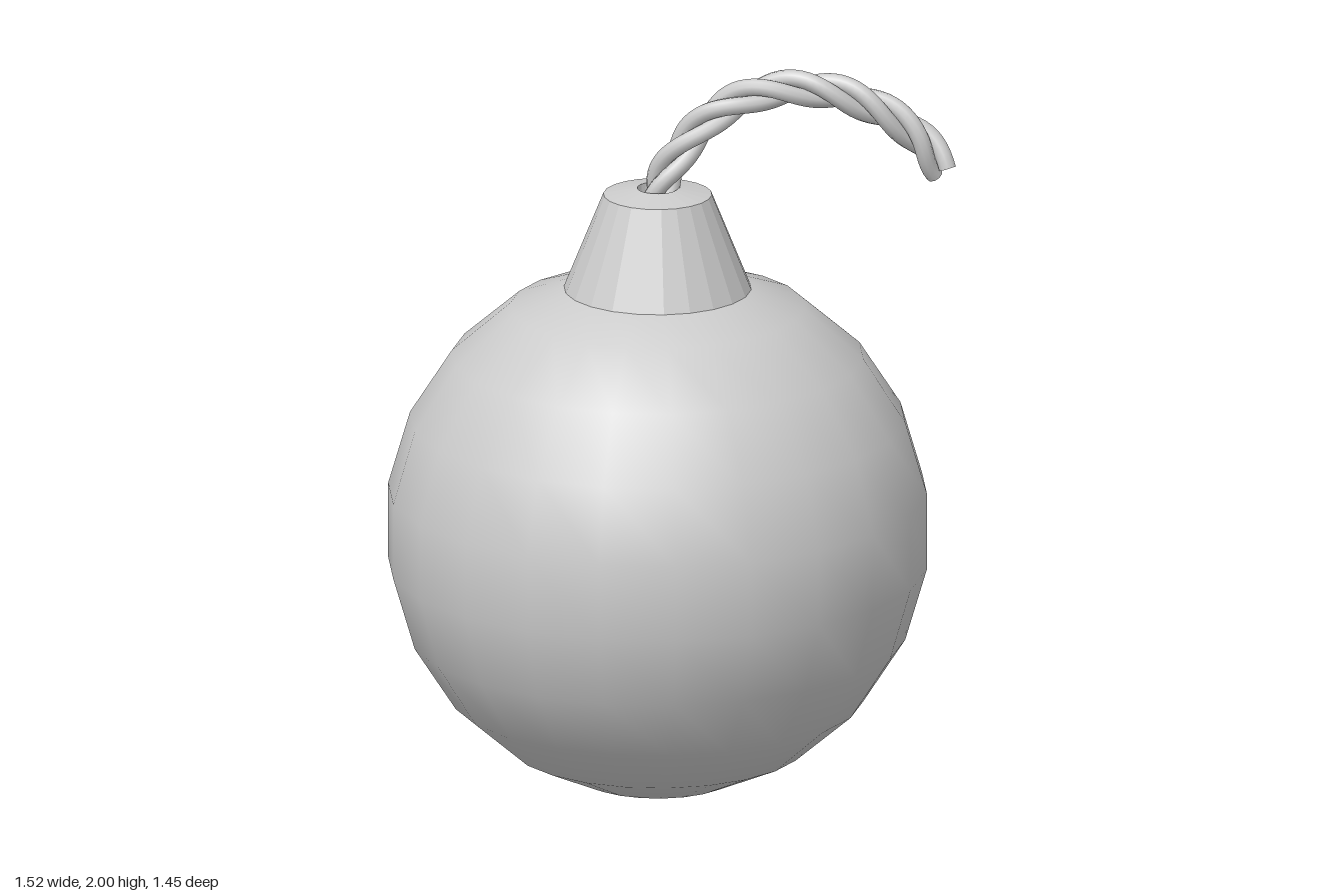
import * as THREE from 'three';

const SIDES = 22;
const AXIS_X = -0.04;

export function createModel() {
  const model = new THREE.Group();
  const smooth = new THREE.MeshStandardMaterial({ color: 0xcccccc });
  const faceted = new THREE.MeshStandardMaterial({ color: 0xcccccc, flatShading: true });

  const add = (name, geometry, material, parent = model) => {
    const mesh = new THREE.Mesh(geometry, material);
    mesh.name = name;
    parent.add(mesh);
    return mesh;
  };
  const lathe = (points) => new THREE.LatheGeometry(points.map(([r, y]) => new THREE.Vector2(r, y)), SIDES);

  // Round body: 11 bands from the bottom pole, the last ring opened to meet the neck
  const R = 0.7325;
  const profile = [];
  for (let i = 0; i < 10; i++) {
    const a = (i * Math.PI) / 11;
    profile.push([R * Math.sin(a), R - R * Math.cos(a)]);
  }
  profile.push([0.252, 1.4]);
  add('body', lathe(profile), smooth).position.x = AXIS_X;

  // Tapered neck with a slightly raised top and a socket for the fuse
  const neck = lathe([[0.252, 1.4], [0.146, 1.663], [0.055, 1.68], [0.05, 1.6], [0, 1.6]]);
  add('neck', neck, faceted).position.x = AXIS_X;

  // Fuse: three strands twisted around an arched centre line
  const fuse = new THREE.Group();
  fuse.name = 'fuse';
  model.add(fuse);
  const path = new THREE.CatmullRomCurve3(
    [[-0.045, 1.61], [-0.025, 1.7], [0.03, 1.795], [0.11, 1.88], [0.21, 1.934], [0.33, 1.952],
      [0.45, 1.934], [0.56, 1.885], [0.66, 1.81], [0.727, 1.717]].map(([x, y]) => new THREE.Vector3(x, y, 0))
  );
  const STRANDS = 3, TURNS = 2.5, OFFSET = 0.027, THICK = 0.024, STEPS = 60;
  for (let s = 0; s < STRANDS; s++) {
    const points = [];
    for (let i = 0; i <= STEPS; i++) {
      const u = i / STEPS;
      const p = path.getPointAt(u);
      const t = path.getTangentAt(u);
      // The twist ends with one strand underneath and two on top
      const a = (u - 1) * TURNS * Math.PI * 2 + Math.PI + (s * Math.PI * 2) / STRANDS;
      const up = OFFSET * Math.cos(a);
      points.push(new THREE.Vector3(p.x - t.y * up, p.y + t.x * up, OFFSET * Math.sin(a)));
    }
    const curve = new THREE.CatmullRomCurve3(points);
    add('fuseStrand', new THREE.TubeGeometry(curve, STEPS, THICK, 10), smooth, fuse);

    // Flat cap on the free end
    const cap = add('fuseStrandEnd', new THREE.CircleGeometry(THICK, 10), smooth, fuse);
    const end = curve.getPointAt(1);
    cap.position.copy(end);
    cap.lookAt(end.clone().add(curve.getTangentAt(1)));
  }

  return model;
}
